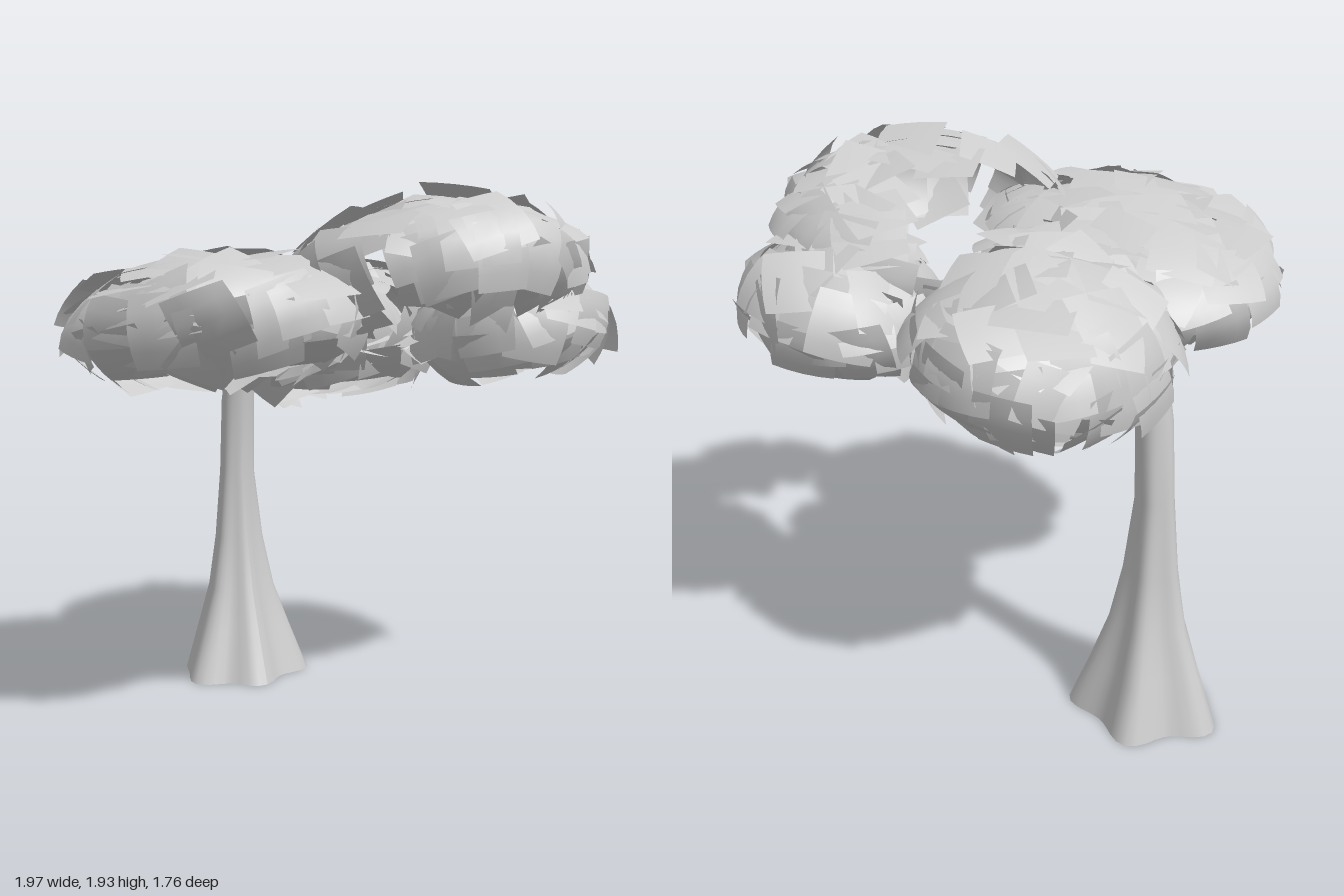
import * as THREE from 'three';
import { mergeGeometries } from 'three/addons/utils/BufferGeometryUtils.js';

// Small seeded generator
let seed = 7;
const rand = () => {
  seed = (seed * 16807) % 2147483647;
  return seed / 2147483647;
};
const spread = (a) => (rand() * 2 - 1) * a;

const material = new THREE.MeshStandardMaterial({ color: 0xcccccc, side: THREE.DoubleSide });

// Uneven root lobes, as angles in degrees from +x toward +z
const lobes = [257, 322, 35, 95, 148];
const lobeHeight = (angle) => lobes.reduce((sum, deg) => {
  const d = angle - THREE.MathUtils.degToRad(deg);
  return sum + Math.exp(-((Math.atan2(Math.sin(d), Math.cos(d)) / 0.36) ** 2));
}, 0);

// Fluted trunk: rings of [y, x, z, core radius, lobe depth]
function makeTrunk() {
  const rings = [
    [0, -0.1, -0.59, 0.21, 0.36], [0.18, -0.1, -0.59, 0.16, 0.33], [0.35, -0.1, -0.585, 0.116, 0.26],
    [0.55, -0.1, -0.585, 0.087, 0.18], [0.82, -0.1, -0.585, 0.065, 0.08],
    [1.1, -0.1, -0.565, 0.063, 0.03], [1.35, -0.09, -0.53, 0.055, 0],
  ];
  const sides = 48;
  const g = new THREE.CylinderGeometry(1, 1, 1, sides, rings.length - 1, true);
  const pos = g.attributes.position;
  for (let i = 0; i < pos.count; i++) {
    const row = rings.length - 1 - Math.floor(i / (sides + 1));
    const a = ((i % (sides + 1)) / sides) * Math.PI * 2;
    const [y, x, z, core, depth] = rings[row];
    const r = core * (1 + depth * lobeHeight(Math.PI / 2 - a));
    pos.setXYZ(i, x + Math.sin(a) * r, y, z + Math.cos(a) * r);
  }
  g.computeVertexNormals();
  const trunk = new THREE.Mesh(g, material);
  trunk.name = 'trunk';
  return trunk;
}

// One slightly bent leaf card lying on an ellipsoid of the given radii at direction dir
function makeLeaf(radii, dir) {
  const p = dir.clone().multiply(radii);
  const n = dir.clone().divide(radii).normalize();
  const across = new THREE.Vector3(0, 1, 0).cross(n).normalize();
  const spin = Math.abs(n.y) > 0.8 ? spread(1.5) : spread(0.35);
  across.applyAxisAngle(n, spin);
  const up = n.clone().cross(across);
  const g = new THREE.PlaneGeometry(0.19 + rand() * 0.07, 0.19 + rand() * 0.06, 4, 4);
  const pos = g.attributes.position;
  const q = new THREE.Vector3();
  const flap = 0.1 + spread(0.25);
  const roll = spread(0.25);
  for (let i = 0; i < pos.count; i++) {
    const u = pos.getX(i), v = pos.getY(i);
    q.copy(p).addScaledVector(across, u).addScaledVector(up, v);
    const onSurface = 1 / q.clone().divide(radii).length();
    q.multiplyScalar(THREE.MathUtils.lerp(1, onSurface, 0.65));
    q.addScaledVector(n, u * roll - v * flap);
    pos.setXYZ(i, q.x, q.y, q.z);
  }
  g.computeVertexNormals();
  return g;
}

// Ragged leaf shell over a tilted ellipsoid, open underneath and toward an optional gap
const gapDir = new THREE.Vector3(-0.25, 0.6, -0.75).normalize();
function makeCluster({ name, center, radii, tilt, count, floor, hollow = false }) {
  const leaves = [];
  for (let i = 0; i < count; i++) {
    const y = 1 - (2 * (i + 0.5)) / count;
    const a = i * 2.39996 + spread(0.2);
    const s = Math.sqrt(1 - y * y);
    const dir = new THREE.Vector3(s * Math.cos(a), y + spread(0.1), s * Math.sin(a)).normalize();
    if (dir.y < floor || (hollow && dir.dot(gapDir) > 0.55)) continue;
    const r = new THREE.Vector3(...radii).multiplyScalar(0.88 + rand() * 0.15);
    leaves.push(makeLeaf(r, dir));
  }
  const mesh = new THREE.Mesh(mergeGeometries(leaves), material);
  mesh.name = name;
  mesh.position.set(...center);
  mesh.rotation.x = -tilt;
  return mesh;
}

export function createModel() {
  seed = 7;
  const model = new THREE.Group();
  model.name = 'tree';
  model.add(makeTrunk());

  // Canopy of overlapping clusters, rising toward the front
  const canopy = new THREE.Group();
  canopy.name = 'canopy';
  const clusters = [
    { name: 'rightLeaves', center: [-0.46, 1.46, 0.08], radii: [0.5, 0.23, 0.57], tilt: 0.17, count: 150, floor: -0.65 },
    { name: 'frontLeaves', center: [0.22, 1.6, 0.31], radii: [0.54, 0.24, 0.55], tilt: 0.28, count: 180, floor: -0.6,
      hollow: true },
    { name: 'leftLeaves', center: [0.65, 1.43, 0.22], radii: [0.33, 0.22, 0.37], tilt: 0.15, count: 80, floor: -0.7 },
    { name: 'backLeaves', center: [0.22, 1.36, -0.39], radii: [0.45, 0.26, 0.38], tilt: 0.32, count: 130, floor: -0.75 },
    { name: 'middleLeaves', center: [0, 1.42, -0.12], radii: [0.36, 0.2, 0.34], tilt: 0.2, count: 60, floor: 0 },
  ];
  for (const c of clusters) canopy.add(makeCluster(c));
  model.add(canopy);
  return model;
}
